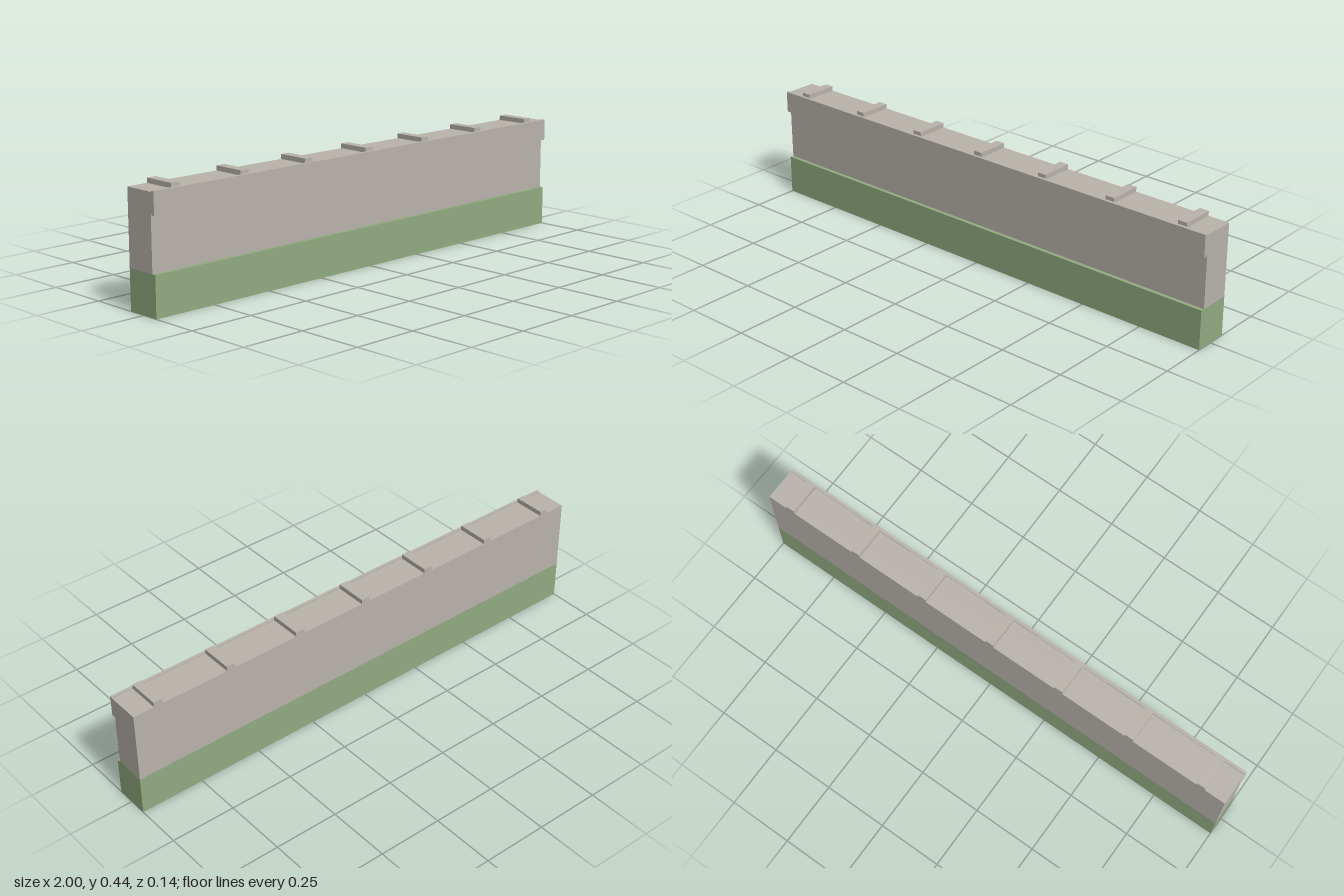
import * as THREE from 'three';

const LENGTH = 2, BACK = -0.069;

// Extrudes a (z, y) profile along x, centred on x = 0
function extrudeAlongX(points, name, material) {
  const shape = new THREE.Shape(points.map(([z, y]) => new THREE.Vector2(-z, y)));
  const geometry = new THREE.ExtrudeGeometry(shape, { depth: LENGTH, bevelEnabled: false });
  geometry.translate(0, 0, -LENGTH / 2);
  geometry.rotateY(Math.PI / 2);
  const mesh = new THREE.Mesh(geometry, material);
  mesh.name = name;
  return mesh;
}

export function createModel() {
  const stone = new THREE.MeshStandardMaterial({ color: 0xb9b3ab });
  stone.name = 'warm grey stone';
  const green = new THREE.MeshStandardMaterial({ color: 0x92ab81 });
  green.name = 'sage green';

  const model = new THREE.Group();
  model.name = 'parapetWall';

  // Green plinth, slightly proud of the wall at the front
  model.add(extrudeAlongX(
    [[BACK, 0], [0.067, 0], [0.067, 0.15], [BACK, 0.15]], 'plinth', green));

  // Wall with an overhanging front fascia whose lip rises above the roof
  model.add(extrudeAlongX([
    [BACK, 0.15], [0.052, 0.15], [0.052, 0.352], [0.057, 0.352], [0.057, 0.347],
    [0.069, 0.347], [0.069, 0.43], [0.057, 0.43], [0.057, 0.426], [BACK, 0.426],
  ], 'wallAndFascia', stone));

  // Evenly spaced ribs across the roof
  const depth = 0.057 - BACK;
  const ribGeometry = new THREE.BoxGeometry(0.036, 0.018, depth);
  for (let i = -3; i <= 3; i++) {
    const rib = new THREE.Mesh(ribGeometry, stone);
    rib.name = 'roofRib';
    rib.position.set(i * 0.3, 0.435, BACK + depth / 2);
    model.add(rib);
  }
  return model;
}
